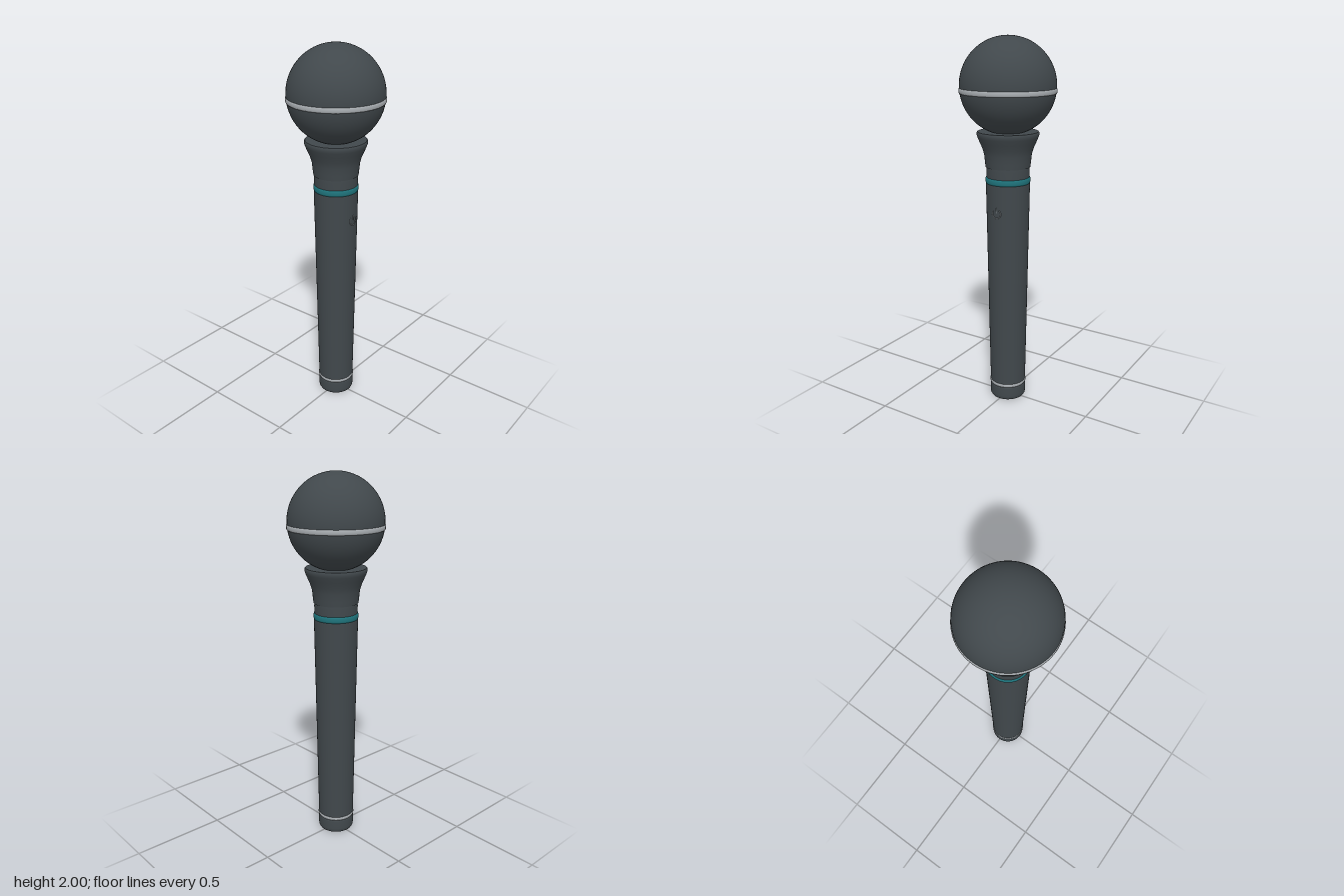
import * as THREE from 'three';

const SEGMENTS = 64;

const material = (name, color) => {
  const m = new THREE.MeshStandardMaterial({ color });
  m.name = name;
  return m;
};

export function createModel() {
  const model = new THREE.Group();
  model.name = 'microphone';

  const charcoal = material('charcoal', 0x41484c);
  const silver = material('silver', 0xa9aeb2);
  const teal = material('teal', 0x1f747c);
  const markGrey = material('markGrey', 0x80878b);

  const add = (name, geometry, mat) => {
    const mesh = new THREE.Mesh(geometry, mat);
    mesh.name = name;
    model.add(mesh);
    return mesh;
  };

  // Turned part from [radius, y] points, bottom to top; a repeated point makes a sharp edge
  const turned = (name, points, mat) =>
    add(name, new THREE.LatheGeometry(points.map(([r, y]) => new THREE.Vector2(r, y)), SEGMENTS), mat);

  // Rounded band around the axis
  const band = (name, y, radius, height, inset, mat) => {
    const h = height / 2;
    turned(name, [
      [radius - inset, y - h], [radius - 0.003, y - h], [radius, y - h * 0.5],
      [radius, y + h * 0.5], [radius - 0.003, y + h], [radius - inset, y + h],
    ], mat);
  };

  // Ball grille and its equator band
  add('grille', new THREE.SphereGeometry(0.25, SEGMENTS, 40), charcoal).position.y = 1.75;
  band('grilleBand', 1.727, 0.253, 0.026, 0.02, silver);

  // Flared collar holding the grille
  turned('collar', [
    [0.1, 1.334], [0.118, 1.334], [0.118, 1.334], [0.121, 1.36], [0.125, 1.4],
    [0.134, 1.432], [0.148, 1.464], [0.159, 1.49], [0.163, 1.502],
    [0.163, 1.514], [0.159, 1.519], [0.159, 1.519], [0.07, 1.519],
  ], charcoal);

  // Neck and accent ring
  turned('neck', [[0.114, 1.25], [0.1145, 1.32], [0.113, 1.34]], charcoal);
  band('accentRing', 1.264, 0.119, 0.032, 0.012, teal);

  // Tapered handle
  const handleRadius = (y) => THREE.MathUtils.mapLinear(y, 0.08, 1.25, 0.098, 0.117);
  turned('handle', [
    [handleRadius(0.08), 0.08], [handleRadius(1.242), 1.242], [0.113, 1.252], [0.1, 1.252],
  ], charcoal);

  // Bottom ring and end cap
  band('baseRing', 0.09, 0.101, 0.02, 0.012, silver);
  turned('endCap', [
    [0, 0], [0.085, 0], [0.085, 0], [0.093, 0.003], [0.098, 0.012],
    [0.099, 0.025], [0.099, 0.07], [0.096, 0.08], [0.08, 0.08],
  ], charcoal);

  // Power mark wrapped onto the front of the handle
  const onHandle = (x, y) => {
    const r = handleRadius(y) + 0.0005;
    return new THREE.Vector3(x, y, Math.sqrt(r * r - x * x));
  };
  const stroke = (name, points) => add(name, new THREE.TubeGeometry(
    new THREE.CatmullRomCurve3(points), 32, 0.0025, 6), markGrey);
  const arc = [];
  for (let i = 0; i <= 20; i++) {
    const a = Math.PI * (0.5 + 0.23 + (1.54 * i) / 20);
    arc.push(onHandle(0.025 * Math.cos(a), 1.1 + 0.025 * Math.sin(a)));
  }
  stroke('powerMarkArc', arc);
  stroke('powerMarkLine', [onHandle(0, 1.104), onHandle(0, 1.132)]);

  return model;
}
